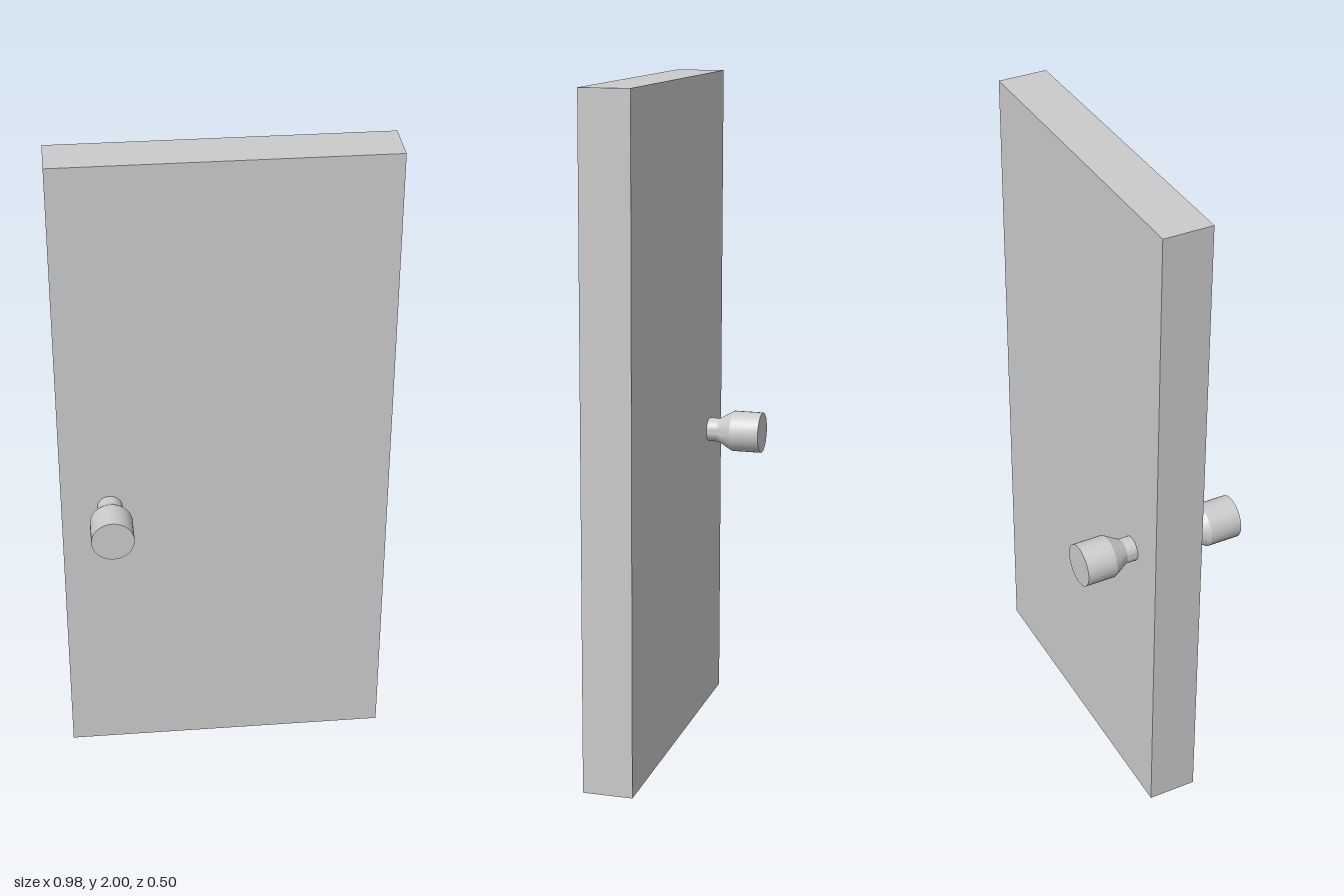
import * as THREE from 'three';
import { toCreasedNormals } from 'three/addons/utils/BufferGeometryUtils.js';

const material = new THREE.MeshStandardMaterial({ color: 0xcccccc });
const STEM_R = 0.037, GRIP_R = 0.063;
const DOOR_FRONT = 0.07, DOOR_BACK = 0.078;

// Knob turned around its axis: thin stem, flared neck, straight grip, flat end
function makeKnob(name, base, neck, grip, end) {
  const profile = [
    [0, base], [STEM_R, base], [STEM_R, neck],
    [GRIP_R, grip], [GRIP_R, end], [0, end],
  ].map(([r, y]) => new THREE.Vector2(r, y));
  const geometry = toCreasedNormals(new THREE.LatheGeometry(profile, 32), 0.4);
  const knob = new THREE.Mesh(geometry, material);
  knob.name = name;
  knob.position.set(-0.345, 0.895, 0);
  return knob;
}

export function createModel() {
  const model = new THREE.Group();
  model.name = 'door';

  // Plain slab
  const panel = new THREE.Mesh(
    new THREE.BoxGeometry(0.978, 2, DOOR_FRONT + DOOR_BACK), material);
  panel.name = 'doorPanel';
  panel.position.set(0, 1, (DOOR_FRONT - DOOR_BACK) / 2);
  model.add(panel);

  // Knobs on both faces; the front one has a slightly longer grip
  const frontKnob = makeKnob('frontKnob', DOOR_FRONT, 0.107, 0.15, 0.248);
  frontKnob.rotation.x = Math.PI / 2;
  const backKnob = makeKnob('backKnob', DOOR_BACK, 0.111, 0.157, 0.248);
  backKnob.rotation.x = -Math.PI / 2;
  model.add(frontKnob, backKnob);

  return model;
}
